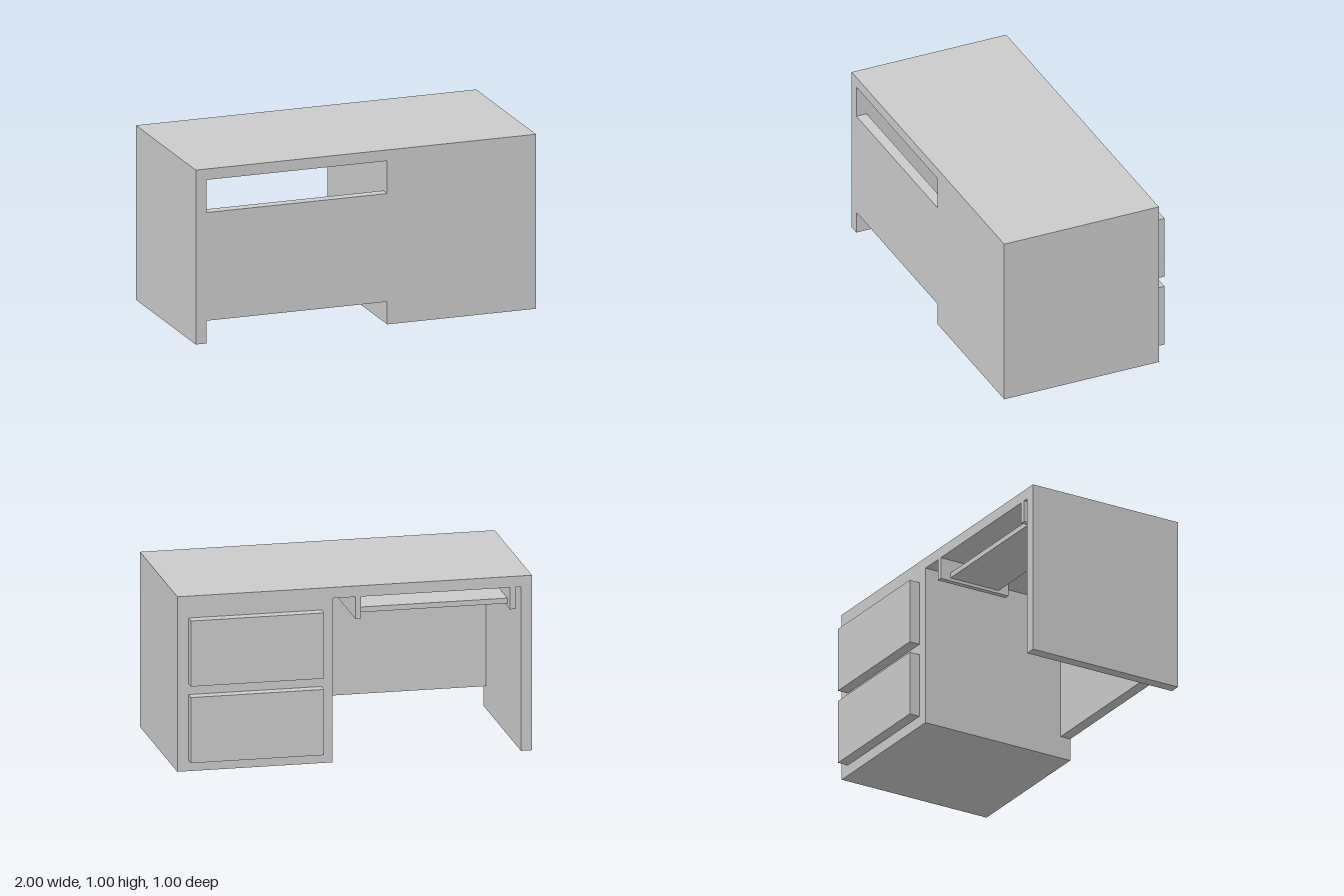
import * as THREE from 'three';

const material = new THREE.MeshStandardMaterial({ color: 0xcccccc, flatShading: true });

// Box given by its min and max extents on each axis
function box(name, [x0, x1], [y0, y1], [z0, z1]) {
  const mesh = new THREE.Mesh(new THREE.BoxGeometry(x1 - x0, y1 - y0, z1 - z0), material);
  mesh.position.set((x0 + x1) / 2, (y0 + y1) / 2, (z0 + z1) / 2);
  mesh.name = name;
  return mesh;
}

export function createModel() {
  const desk = new THREE.Group();
  desk.name = 'desk';

  const T = 0.0625; // board thickness
  const back = -0.4375, front = 0.5;
  const cabinetX = 0.125, legX = -1 + T;

  // Carcass: side panel, top and drawer cabinet as one extruded outline
  const outline = new THREE.Shape([
    [-1, 0], [legX, 0], [legX, 1 - T], [cabinetX, 1 - T],
    [cabinetX, 0], [1, 0], [1, 1], [-1, 1],
  ].map(([x, y]) => new THREE.Vector2(x, y)));
  const carcass = new THREE.Mesh(
    new THREE.ExtrudeGeometry(outline, { depth: front - back, bevelEnabled: false }), material);
  carcass.position.z = back;
  carcass.name = 'carcass';
  desk.add(carcass);

  // Panel closing the knee space, open above and below
  desk.add(box('modestyPanel', [legX, cabinetX], [0.13, 0.75], [front - T, front]));

  // Two drawer fronts
  [['lowerDrawer', 0.0625], ['upperDrawer', 0.5]].forEach(([name, y]) =>
    desk.add(box(name, [0.1875, 0.9375], [y, y + 0.375], [-0.5, back])));

  // Keyboard tray hung between two rails under the top
  const tray = new THREE.Group();
  tray.name = 'keyboardTray';
  [['rightRail', -0.906], ['leftRail', -0.035]].forEach(([name, x]) =>
    tray.add(box(name, [x, x + 0.031], [0.8125, 1 - T], [back, 0])));
  tray.add(box('trayBoard', [-0.875, -0.035], [0.83, 0.86], [-0.375, -0.0625]));
  desk.add(tray);

  return desk;
}
